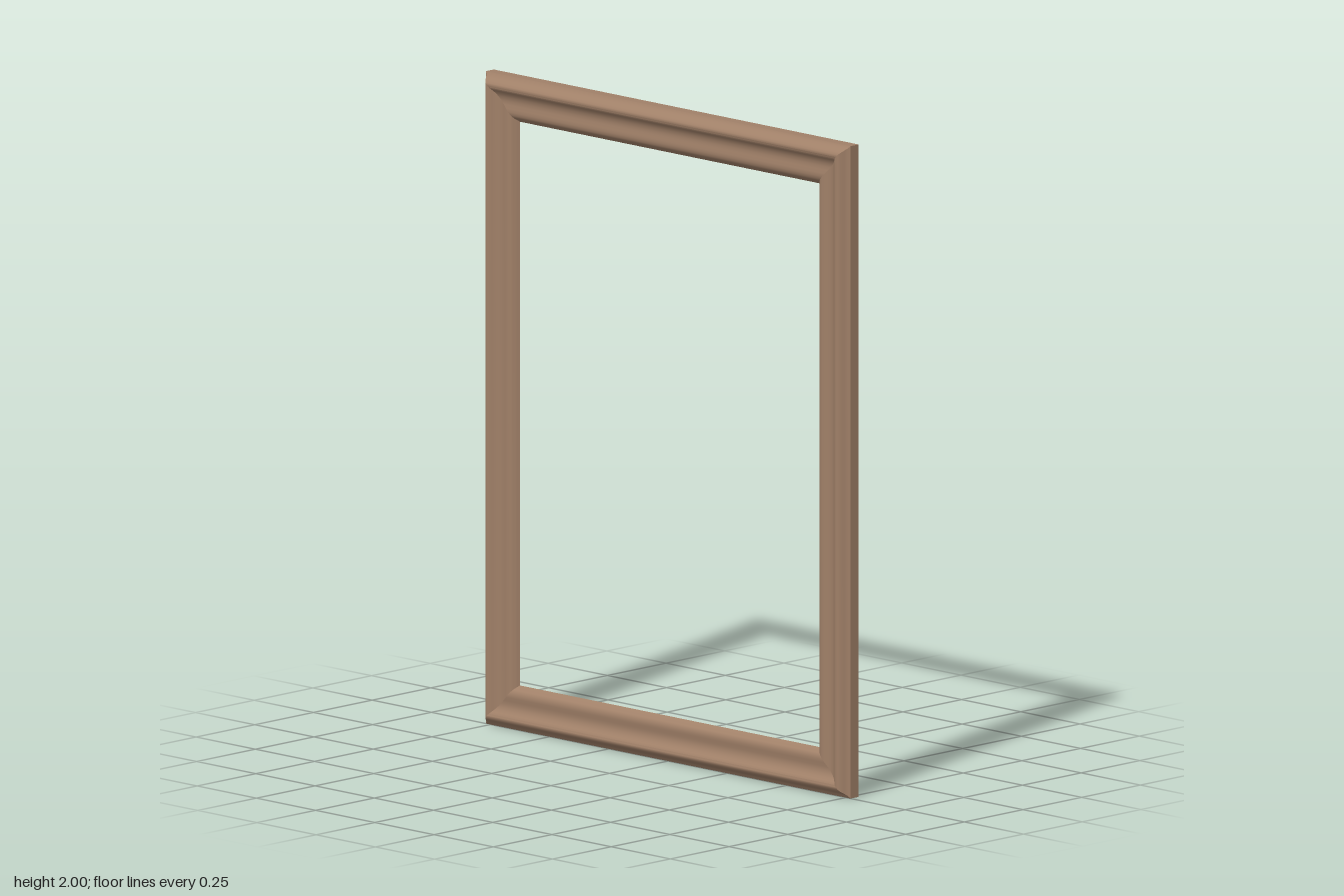
import * as THREE from 'three';
import { toCreasedNormals } from 'three/addons/utils/BufferGeometryUtils.js';

const HALF_W = 0.77, HALF_H = 1;

// Moulding section from the back of the outer wall to the inner lip: [inset from outer edge, z]
const PROFILE = [
  [0, -0.034], [0, 0], [0.007, 0.004], [0.014, 0.013], [0.02, 0.022], [0.027, 0.028],
  [0.034, 0.03], [0.04, 0.028], [0.047, 0.022], [0.055, 0.016], [0.064, 0.012], [0.075, 0.01],
  [0.086, 0.011], [0.097, 0.013], [0.107, 0.014], [0.116, 0.012], [0.123, 0.008],
  [0.128, 0.003], [0.131, -0.002], [0.136, -0.008],
];

// Corner signs, counter-clockwise seen from the front
const CORNERS = [[-1, -1], [1, -1], [1, 1], [-1, 1]];
const NAMES = ['bottomRail', 'leftStile', 'topRail', 'rightStile'];

function point(corner, [inset, z]) {
  return [corner[0] * (HALF_W - inset), HALF_H + corner[1] * (HALF_H - inset), z];
}

// One mitred length of open-backed moulding between two corners
function rail(from, to) {
  const positions = [], index = [];
  PROFILE.forEach((p, i) => {
    positions.push(...point(from, p), ...point(to, p));
    if (i > 0) {
      const a = 2 * (i - 1);
      index.push(a, a + 1, a + 3, a, a + 3, a + 2);
    }
  });
  const geometry = new THREE.BufferGeometry();
  geometry.setAttribute('position', new THREE.Float32BufferAttribute(positions, 3));
  geometry.setIndex(index);
  return toCreasedNormals(geometry, Math.PI / 5);
}

export function createModel() {
  const group = new THREE.Group();
  group.name = 'pictureFrame';
  const wood = new THREE.MeshStandardMaterial({ color: 0xa08068, side: THREE.DoubleSide });
  wood.name = 'brown wood';

  CORNERS.forEach((corner, k) => {
    const mesh = new THREE.Mesh(rail(corner, CORNERS[(k + 1) % 4]), wood);
    mesh.name = NAMES[k];
    group.add(mesh);
  });
  return group;
}
